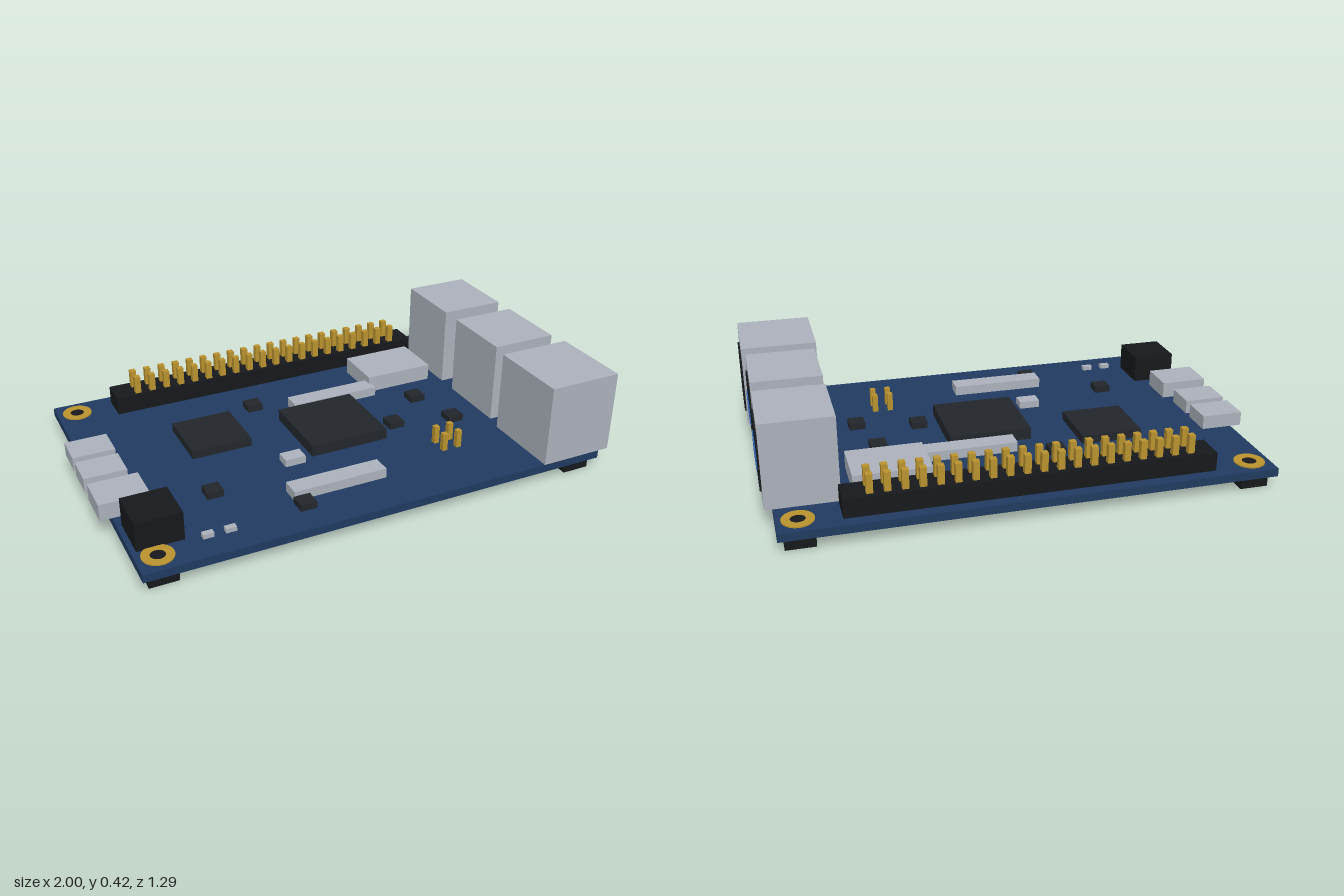
import * as THREE from 'three';

const mat = (color) => new THREE.MeshStandardMaterial({ color, flatShading: true });

export function createModel() {
  const model = new THREE.Group();
  const blue = mat(0x1f3a5f), black = mat(0x16181b), chip = mat(0x22262b);
  const metal = mat(0xaab0ba), gold = mat(0xb8922f), tongue = mat(0x2f66b8);
  const TOP = 0.085; // upper face of the board

  // Box given by its extents on each axis
  function box(name, material, x0, x1, y0, y1, z0, z1, parent = model) {
    const mesh = new THREE.Mesh(new THREE.BoxGeometry(x1 - x0, y1 - y0, z1 - z0), material);
    mesh.position.set((x0 + x1) / 2, (y0 + y1) / 2, (z0 + z1) / 2);
    mesh.name = name;
    parent.add(mesh);
  }
  // Box standing on the board, given by centre, footprint and top height
  const onBoard = (name, material, x, z, w, d, top, parent) =>
    box(name, material, x - w / 2, x + w / 2, TOP, top, z - d / 2, z + d / 2, parent);

  box('board', blue, -0.955, 0.945, 0.052, TOP, -0.645, 0.645);

  // Mounting holes with gold rings, and feet beneath
  const ringShape = new THREE.Shape().absarc(0, 0, 0.06, 0, Math.PI * 2);
  ringShape.holes.push(new THREE.Path().absarc(0, 0, 0.028, 0, Math.PI * 2, true));
  const ringGeo = new THREE.ExtrudeGeometry(ringShape, { depth: 0.005, bevelEnabled: false, curveSegments: 24 });
  ringGeo.rotateX(-Math.PI / 2);
  const holeGeo = new THREE.CylinderGeometry(0.029, 0.029, 0.003, 24);
  for (const x of [-0.873, 0.865]) {
    for (const z of [-0.56, 0.56]) {
      const ring = new THREE.Mesh(ringGeo, gold);
      ring.name = 'mountingRing';
      ring.position.set(x, TOP, z);
      const hole = new THREE.Mesh(holeGeo, black);
      hole.name = 'mountingHole';
      hole.position.set(x, TOP + 0.0015, z);
      model.add(ring, hole);
      box('foot', black, x - 0.056, x + 0.056, 0, 0.052, z - 0.056, z + 0.056);
    }
  }

  // Long two-row pin header
  const header = new THREE.Group();
  header.name = 'pinHeader';
  model.add(header);
  box('headerBase', black, -0.715, 0.71, TOP, 0.16, -0.597, -0.475, header);
  for (let i = 0; i < 20; i++) {
    for (const z of [-0.563, -0.5]) {
      onBoard('headerPin', gold, -0.617 + i * 0.0646, z, 0.025, 0.025, 0.235, header);
    }
  }

  // Small four-pin header
  for (const x of [0.388, 0.452]) {
    for (const z of [0.305, 0.37]) onBoard('smallPin', gold, x, z, 0.022, 0.022, 0.16);
  }

  // Double-height sockets on the right edge
  for (const z of [-0.31, 0.084]) {
    const socket = new THREE.Group();
    socket.name = 'wideSocket';
    model.add(socket);
    box('socketShell', metal, 0.7, 0.975, TOP, 0.42, z - 0.154, z + 0.154, socket);
    box('socketOpening', black, 0.96, 0.982, 0.143, 0.365, z - 0.118, z + 0.118, socket);
    box('socketTongue', tongue, 0.965, 0.986, 0.215, 0.292, z - 0.09, z + 0.09, socket);
  }
  box('networkSocket', metal, 0.685, 0.99, TOP, 0.42, 0.308, 0.645);
  box('networkOpening', black, 0.97, 0.997, 0.125, 0.35, 0.36, 0.597);

  // Small ports and round-plug jack on the left edge
  box('displayPort', metal, -1, -0.83, TOP, 0.142, -0.237, -0.105);
  box('displayPort', metal, -1, -0.83, TOP, 0.142, -0.07, 0.062);
  box('powerPort', metal, -1, -0.805, TOP, 0.153, 0.117, 0.273);
  box('audioJack', black, -0.935, -0.757, TOP, 0.2, 0.33, 0.51);

  // Chips
  onBoard('mainChip', chip, 0.053, 0.028, 0.335, 0.335, 0.133);
  onBoard('memoryChip', chip, -0.426, -0.115, 0.252, 0.252, 0.12);
  const smallChips = [[-0.175, -0.283], [0.5, -0.06], [0.303, 0.107], [0.555, 0.163], [-0.567, 0.278], [-0.285, 0.498]];
  for (const [x, z] of smallChips) onBoard('smallChip', chip, x, z, 0.066, 0.066, 0.112);

  // Ribbon connectors, shield can and tiny parts
  onBoard('ribbonConnector', metal, -0.117, 0.418, 0.388, 0.078, 0.125);
  onBoard('ribbonConnector', metal, 0.165, -0.199, 0.388, 0.078, 0.125);
  onBoard('shieldCan', metal, 0.5, -0.309, 0.303, 0.218, 0.155);
  onBoard('crystal', metal, -0.2, 0.193, 0.086, 0.062, 0.115);
  for (const x of [-0.679, -0.593]) onBoard('statusLight', metal, x, 0.528, 0.042, 0.024, 0.103);

  return model;
}
